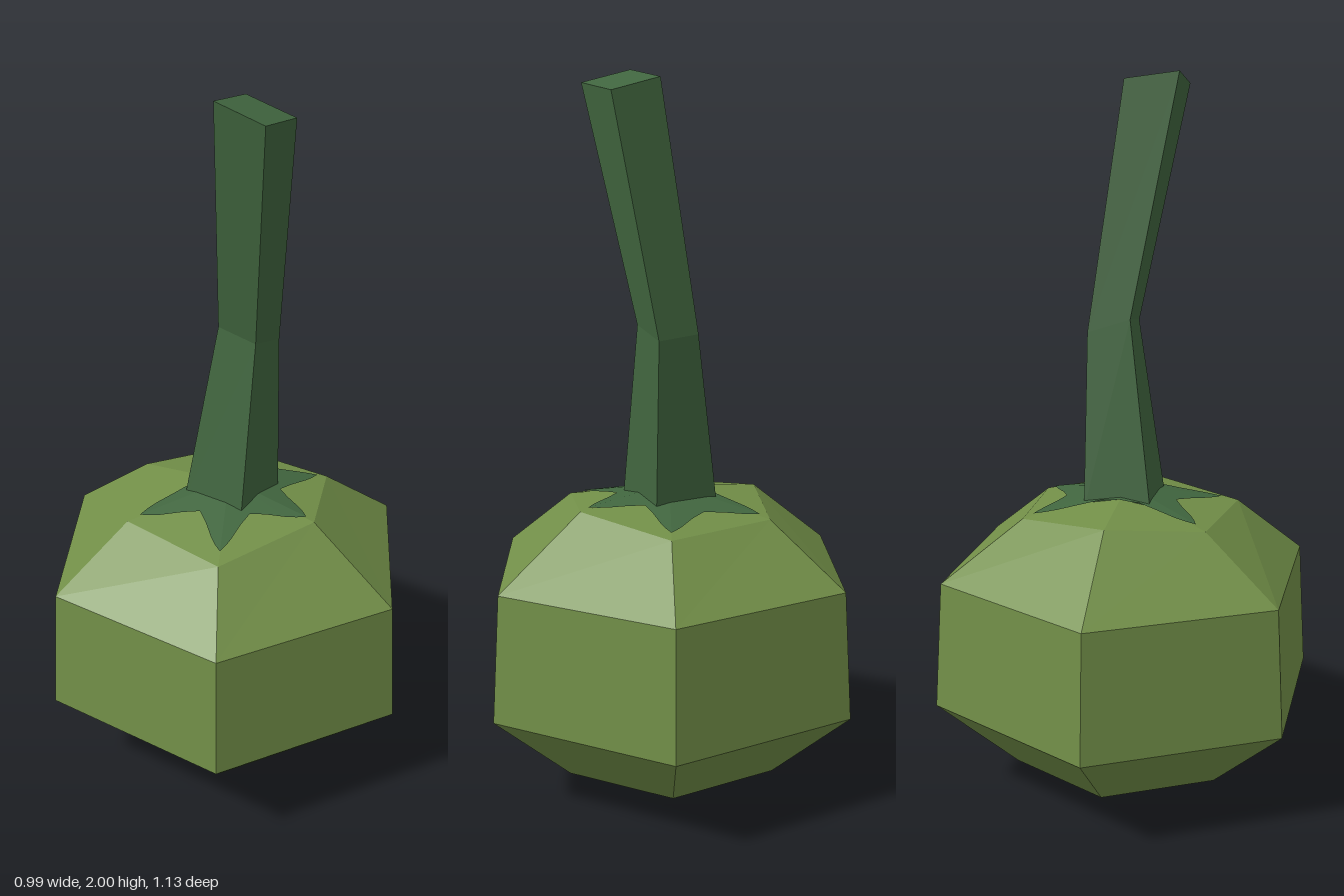
import * as THREE from 'three';

const fruitGreen = new THREE.MeshStandardMaterial({ color: 0x728f48 });
fruitGreen.name = 'fruitGreen';
const stemGreen = new THREE.MeshStandardMaterial({ color: 0x41663f });
stemGreen.name = 'stemGreen';

const v = (x, y, z) => new THREE.Vector3(x, y, z);

// Faceted mesh from a list of corner points, three per triangle
function facetMesh(name, corners, material) {
  const geometry = new THREE.BufferGeometry().setFromPoints(corners);
  geometry.computeVertexNormals();
  const mesh = new THREE.Mesh(geometry, material);
  mesh.name = name;
  return mesh;
}

// Skin stacked rings (listed bottom to top) and close both ends with a fan
function loft(rings, bottom, top) {
  const out = [];
  const n = rings[0].length;
  const first = rings[0], last = rings[rings.length - 1];
  for (let i = 0; i < n; i++) {
    const j = (i + 1) % n;
    for (let k = 0; k + 1 < rings.length; k++) {
      const lo = rings[k], hi = rings[k + 1];
      out.push(lo[i], lo[j], hi[j], lo[i], hi[j], hi[i]);
    }
    out.push(first[j], first[i], bottom, last[i], last[j], top);
  }
  return out;
}

function hexRing(radius, y) {
  return Array.from({ length: 6 }, (_, i) => {
    const a = i * Math.PI / 3 + 0.03;
    return v(radius * Math.sin(a), y, radius * Math.cos(a));
  });
}

const centre = ring => ring.reduce((s, p) => s.add(p), v(0, 0, 0)).divideScalar(ring.length);

export function createModel() {
  const model = new THREE.Group();
  model.name = 'gourd';

  // Six-sided fruit with a slightly uneven shoulder
  const shoulder = [
    v(0.005, 0.82, 0.285), v(0.28, 0.79, 0.155), v(0.255, 0.795, -0.172),
    v(-0.01, 0.82, -0.29), v(-0.26, 0.795, -0.165), v(-0.29, 0.79, 0.17),
  ];
  const apex = v(0, 0.857, 0);
  const body = [hexRing(0.33, 0.06), hexRing(0.563, 0.265), hexRing(0.54, 0.625), shoulder];
  model.add(facetMesh('fruit', loft(body, v(0, 0, 0), apex), fruitGreen));

  // Five-pointed leaf lying on the cap: reach along each spoke and each valley
  const tips = [0.91, 0.9, 0.9, 0.36, 0.88, 0.85];
  const valleys = [0.56, 0.66, 0.42, 0.42, 0.52, 0.56];
  const outline = [];
  for (let i = 0; i < 6; i++) {
    const j = (i + 1) % 6;
    for (const t of [0, 0.07, 0.14, 0.3, 0.5, 0.7, 0.86, 0.93]) {
      const tip = t < 0.5 ? tips[i] : tips[j];
      const d = Math.min(t, 1 - t) * 2; // 0 on the spoke, 1 in the valley
      const s = valleys[i] + (tip - valleys[i]) * (1 - d) ** 1.6 * (1 + 0.9 * d * (1 - d));
      outline.push(apex.clone().lerp(shoulder[i].clone().lerp(shoulder[j], t), s));
    }
  }
  const leaf = outline.flatMap((p, i) => [p, outline[(i + 1) % outline.length], apex]);
  const leafMesh = facetMesh('leafCollar', leaf, stemGreen);
  leafMesh.position.y = 0.006;
  model.add(leafMesh);

  // Bent square stem
  const stem = [
    [v(-0.088, 0.81, 0.102), v(0.102, 0.81, 0.1), v(0.1, 0.81, -0.095), v(-0.09, 0.81, -0.092)],
    [v(-0.012, 1.32, 0.095), v(0.105, 1.29, 0.093), v(0.105, 1.3, -0.03), v(-0.015, 1.34, -0.025)],
    [v(-0.13, 1.965, 0.198), v(0.022, 1.945, 0.188), v(0.018, 1.98, 0.038), v(-0.132, 2, 0.047)],
  ];
  model.add(facetMesh('stem', loft(stem, centre(stem[0]), centre(stem[2])), stemGreen));

  return model;
}
